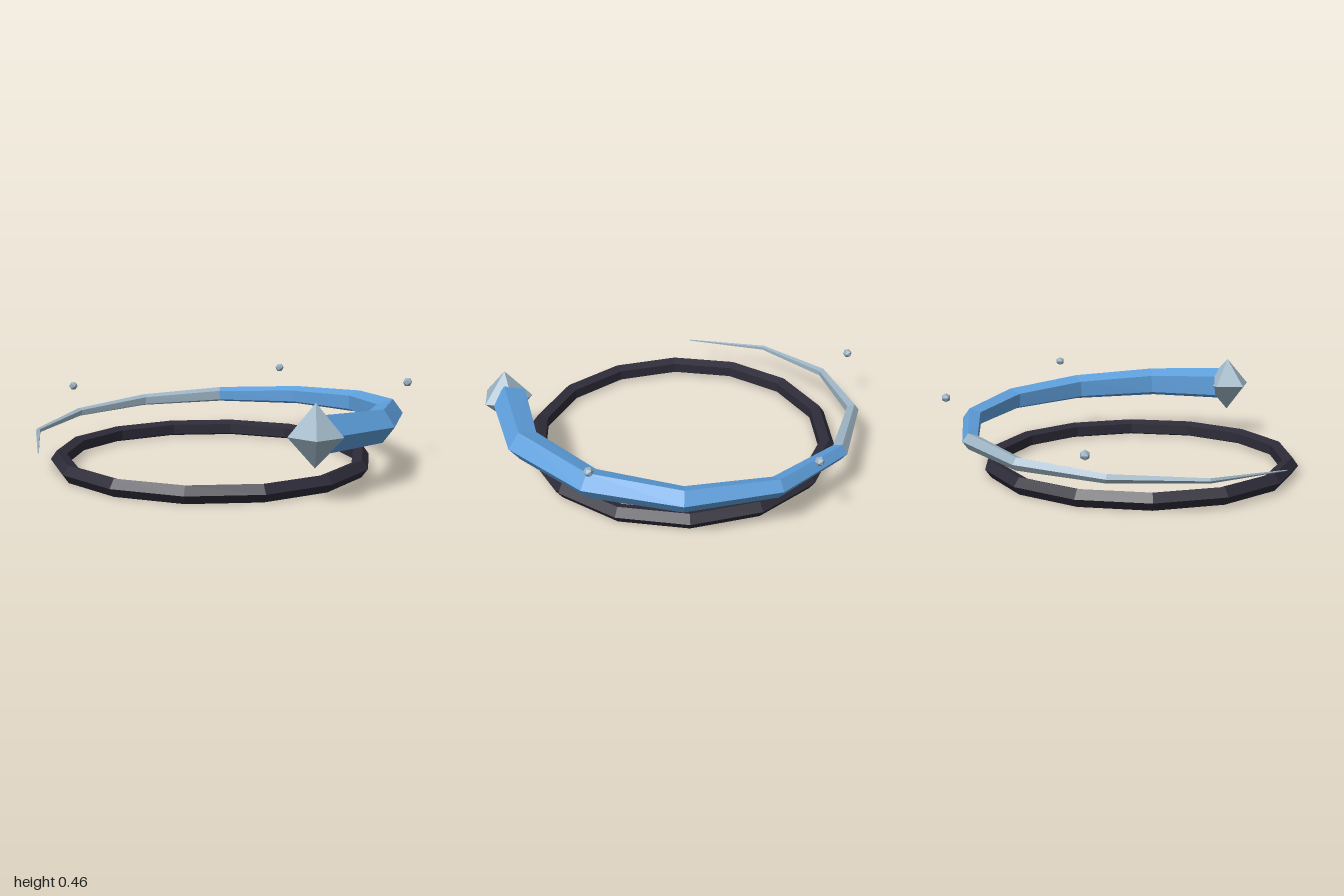
import * as THREE from 'three';

const SIDES = 5;
const UP = new THREE.Vector3(0, 1, 0);

// Sweeps a pentagon along a path, one corner facing outward; radius per point
function sweep(points, radii, from, to) {
  const pos = [], index = [];
  for (let i = from; i <= to; i++) {
    const prev = points[Math.max(i - 1, 0)];
    const next = points[Math.min(i + 1, points.length - 1)];
    const tangent = next.clone().sub(prev).normalize();
    const out = tangent.clone().cross(UP).normalize();
    const up = out.clone().cross(tangent);
    for (let j = 0; j < SIDES; j++) {
      const a = (j / SIDES) * Math.PI * 2;
      const p = points[i].clone()
        .addScaledVector(out, Math.cos(a) * radii[i])
        .addScaledVector(up, Math.sin(a) * radii[i]);
      pos.push(p.x, p.y, p.z);
    }
  }
  for (let i = 0; i < to - from; i++) {
    for (let j = 0; j < SIDES; j++) {
      const k = (j + 1) % SIDES;
      const a = i * SIDES + j, d = i * SIDES + k;
      const b = a + SIDES, c = d + SIDES;
      index.push(a, b, d, b, c, d);
    }
  }
  const geo = new THREE.BufferGeometry();
  geo.setAttribute('position', new THREE.Float32BufferAttribute(pos, 3));
  geo.setIndex(index);
  geo.computeVertexNormals();
  return geo;
}

function material(name, color) {
  const m = new THREE.MeshStandardMaterial({ color, flatShading: true, side: THREE.DoubleSide });
  m.name = name;
  return m;
}

export function createModel() {
  const group = new THREE.Group();
  const dark = material('dark', 0x2d2b38);
  const blue = material('blue', 0x5e9fdc);
  const silver = material('silver', 0x9db4c4);
  const add = (name, geo, mat) => {
    const mesh = new THREE.Mesh(geo, mat);
    mesh.name = name;
    group.add(mesh);
    return mesh;
  };

  // Flat base ring, left with a hairline seam at +x
  const ring = [];
  for (let i = 0; i <= 14; i++) {
    const a = (i / 14) * Math.PI * 2;
    ring.push(new THREE.Vector3(Math.cos(a) * 0.788, 0.044, 0.115 - Math.sin(a) * 0.788));
  }
  add('baseRing', sweep(ring, ring.map(() => 0.046), 0, 14), dark);

  // Tapering coil, sinking from the head to the thin tail
  const plan = [
    [0.73, 0.635], [0.91, 0.255], [0.86, -0.205], [0.6, -0.583], [0.185, -0.785],
    [-0.286, -0.758], [-0.675, -0.51], [-0.89, -0.1], [-0.885, 0.367], [-0.65, 0.77],
  ];
  const coil = plan.map(([x, z], i) => new THREE.Vector3(x, 0.315 - 0.0189 * i, z));
  const radii = plan.map((_, i) => 0.095 - 0.0102 * i);
  add('coilBody', sweep(coil, radii, 0, 5), blue);
  add('coilTail', sweep(coil, radii, 5, 9), silver);

  // Faceted head: a five-sided double pyramid
  const head = add('head', new THREE.SphereGeometry(1, 5, 2, Math.PI), silver);
  head.scale.set(0.133, 0.15, 0.133);
  head.position.set(0.723, 0.315, 0.685);

  // Small floating shards
  const shards = [[0.04, 0.38, -0.91], [0.935, 0.427, -0.31], [-0.98, 0.315, -0.2]];
  for (const p of shards) {
    add('shard', new THREE.IcosahedronGeometry(0.025, 0), silver).position.set(...p);
  }
  return group;
}
